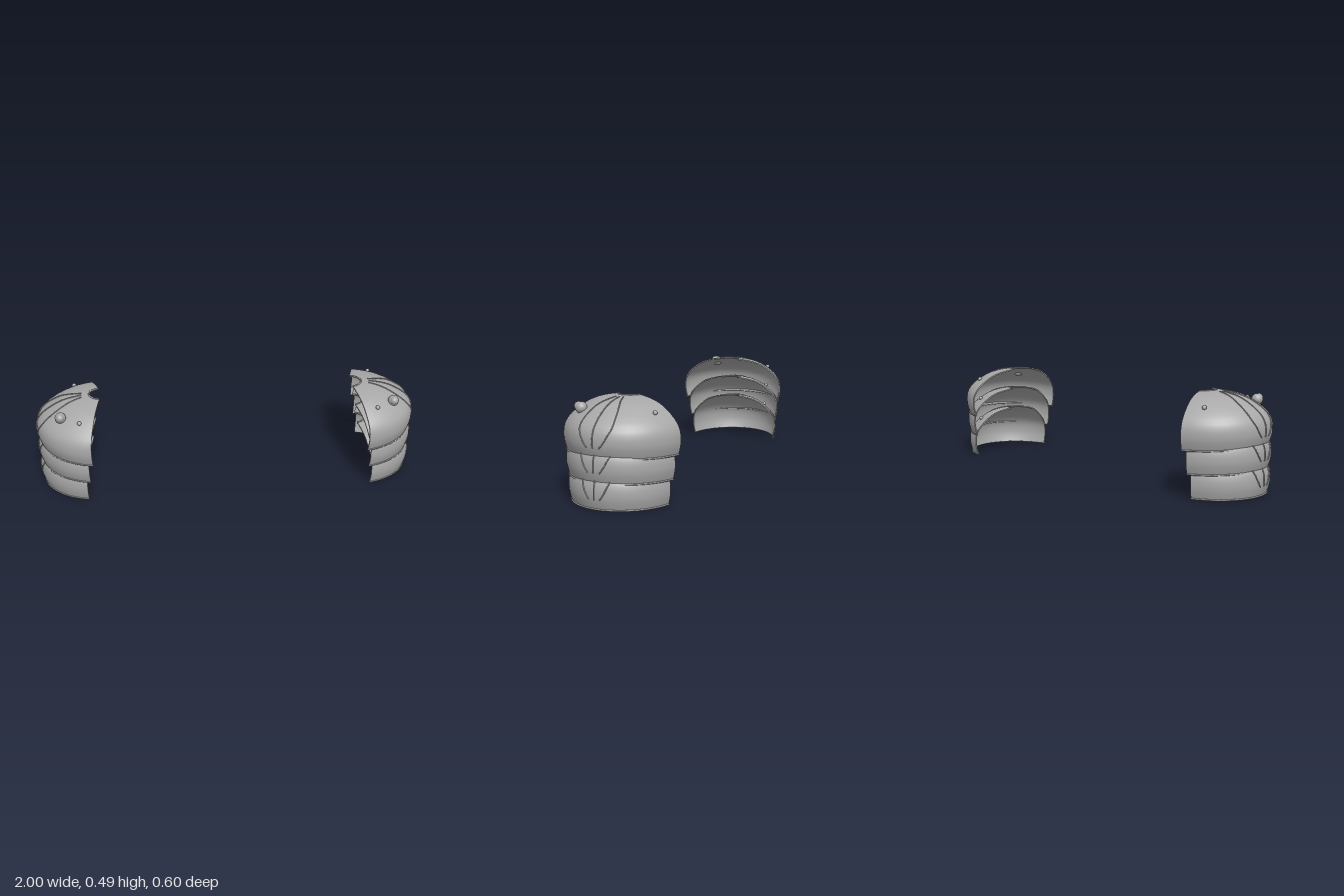
import * as THREE from 'three';

const rad = THREE.MathUtils.degToRad;
const PHI_BACK = rad(-74.5), PHI_FRONT = rad(80);

// Dome profile from lower rim to collar notch: (radius, height)
const profile = new THREE.SplineCurve([
  [0.295, 0], [0.304, 0.03], [0.309, 0.065], [0.303, 0.115], [0.272, 0.162],
  [0.21, 0.21], [0.155, 0.235], [0.088, 0.25], [0.058, 0.253],
].map(([r, h]) => new THREE.Vector2(r, h)));

// Three overlapping plates: centre x, radius scale, rim height, lift of the outer side
const layers = [
  { name: 'upper', cx: 0.65, scale: 1, y: 0.234, lift: 0.012 },
  { name: 'middle', cx: 0.674, scale: 0.93, y: 0.12, lift: 0.012 },
  { name: 'lower', cx: 0.694, scale: 0.873, y: 0.005, lift: 0.004 },
];

// Point on a plate: t runs up the profile, phi around it, offset along the normal
function plate(layer, side, t, phi, offset = 0) {
  t = THREE.MathUtils.clamp(t, 0, 1);
  const p = profile.getPoint(t), d = profile.getTangent(t);
  const r = (p.x + d.y * offset) * layer.scale;
  const x = 1.13 * r * Math.cos(phi);
  return new THREE.Vector3(
    side * (layer.cx + x),
    layer.y + p.y - d.x * offset + layer.lift * x / 0.35,
    r * Math.sin(phi));
}

// Thin curved shell, bent from a flat slab
function shellGeometry(layer, side) {
  const geo = new THREE.BoxGeometry(1, 1, 1, 32, 20, 1);
  const pos = geo.attributes.position;
  for (let i = 0; i < pos.count; i++) {
    const phi = (PHI_BACK + PHI_FRONT) / 2 - side * pos.getX(i) * (PHI_FRONT - PHI_BACK);
    const v = plate(layer, side, pos.getY(i) + 0.5, phi, (pos.getZ(i) - 0.5) * 0.007);
    pos.setXYZ(i, v.x, v.y, v.z);
  }
  geo.computeVertexNormals();
  return geo;
}

export function createModel() {
  const model = new THREE.Group();
  model.name = 'shoulderArmour';
  const steel = new THREE.MeshStandardMaterial({ color: 0xa8a8a8, side: THREE.DoubleSide });
  steel.name = 'grey steel';

  const add = (parent, name, geo, at) => {
    const mesh = new THREE.Mesh(geo, steel);
    mesh.name = name;
    if (at) mesh.position.copy(at);
    parent.add(mesh);
  };
  const tube = (points, radius, segments) =>
    new THREE.TubeGeometry(new THREE.CatmullRomCurve3(points), segments, radius, 8);

  for (const side of [1, -1]) {
    const shoulder = new THREE.Group();
    shoulder.name = side > 0 ? 'leftShoulder' : 'rightShoulder';
    model.add(shoulder);

    for (const layer of layers) {
      const group = new THREE.Group();
      group.name = layer.name + 'Plate';
      shoulder.add(group);
      add(group, 'shell', shellGeometry(layer, side));

      // Rolled edges along the rim and around the notch
      for (const [name, t] of [['lowerRim', 0], ['notchRim', 1]]) {
        const points = [];
        for (let i = 0; i <= 24; i++) {
          points.push(plate(layer, side, t, THREE.MathUtils.lerp(PHI_BACK, PHI_FRONT, i / 24)));
        }
        add(group, name, tube(points, 0.0045, 40));
      }

      // Three raised ribs that spread and close again: [t, spread in degrees]
      for (const k of [-1, 0, 1]) {
        const points = [[0.86, 12], [0.67, 17.5], [0.46, 17], [0.34, 13], [0.19, 6]]
          .map(([t, a]) => new THREE.Vector2(t, 4 + k * a));
        const path = new THREE.SplineCurve(points).getPoints(20)
          .map(p => plate(layer, side, p.x, rad(p.y), 0.001));
        add(group, 'rib', tube(path, 0.003, 40));
      }

      // Rivets near the front and back edges
      for (const [t, deg] of [[0.59, 64], [0.575, -55.6]]) {
        add(group, 'rivet', new THREE.SphereGeometry(0.011, 16, 12),
          plate(layer, side, t, rad(deg), 0.004));
      }
    }

    // Double-lobed knob on the upper plate
    const knob = plate(layers[0], side, 0.58, rad(39), 0.01);
    add(shoulder, 'knobBase', new THREE.SphereGeometry(0.028, 24, 16), knob);
    add(shoulder, 'knobLobe', new THREE.SphereGeometry(0.021, 24, 16),
      knob.clone().add(new THREE.Vector3(0, 0.007, 0.013)));
  }
  return model;
}
